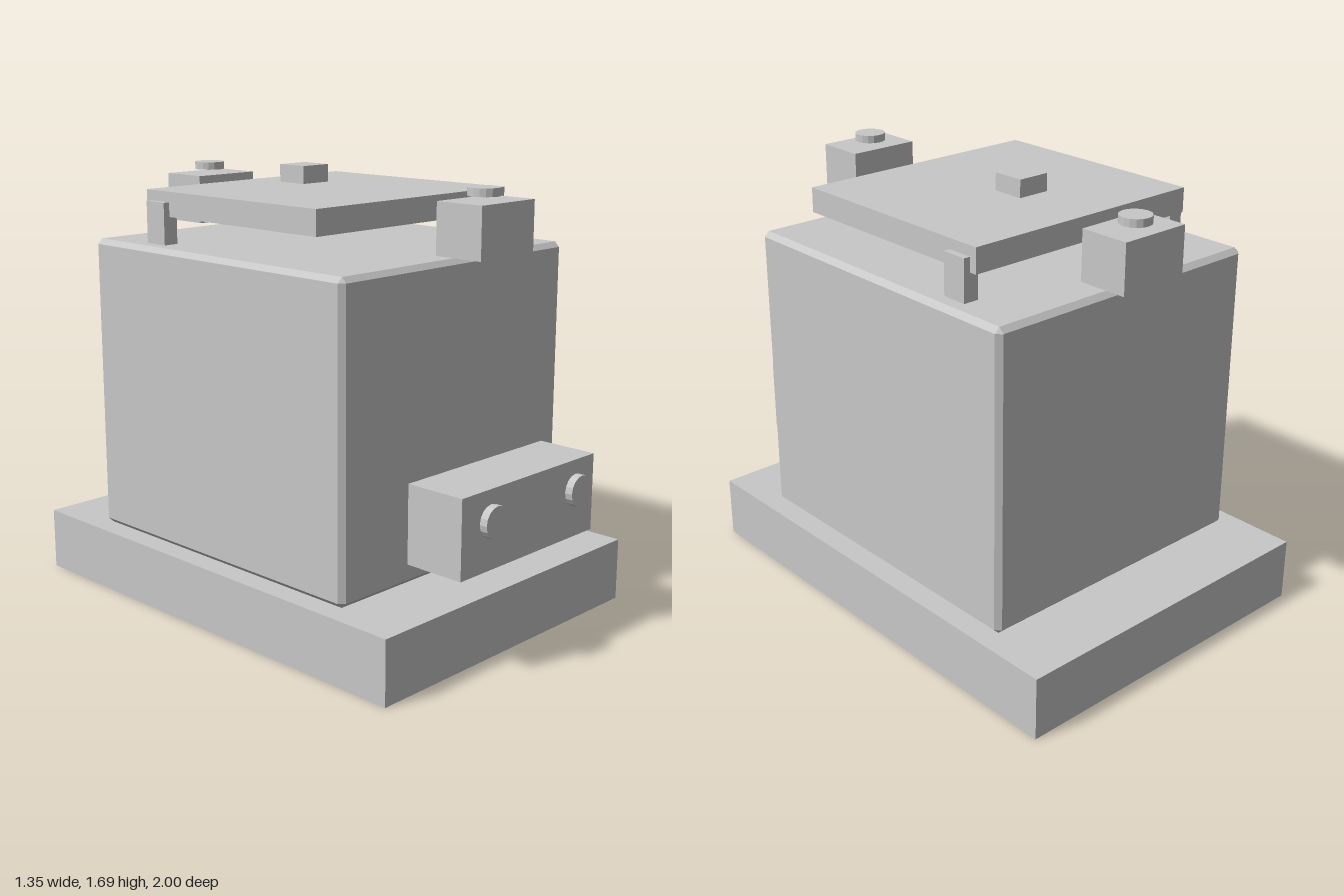
import * as THREE from 'three';
import { ConvexGeometry } from 'three/addons/geometries/ConvexGeometry.js';

const grey = new THREE.MeshStandardMaterial({ color: 0xc8c8c8, flatShading: true });
grey.name = 'plain grey';

function add(group, name, geometry, x, y, z) {
  const mesh = new THREE.Mesh(geometry, grey);
  mesh.name = name;
  mesh.position.set(x, y, z);
  group.add(mesh);
  return mesh;
}

// Box given by its extents along each axis
function block(group, name, [x0, x1], [y0, y1], [z0, z1]) {
  const geometry = new THREE.BoxGeometry(x1 - x0, y1 - y0, z1 - z0);
  return add(group, name, geometry, (x0 + x1) / 2, (y0 + y1) / 2, (z0 + z1) / 2);
}

// Box with every edge cut at 45 degrees
function chamferedBox(w, h, d, c) {
  const points = [];
  for (const sx of [-1, 1]) for (const sy of [-1, 1]) for (const sz of [-1, 1]) {
    for (const axis of [0, 1, 2]) {
      const p = [w / 2 - c, h / 2 - c, d / 2 - c];
      p[axis] += c;
      points.push(new THREE.Vector3(sx * p[0], sy * p[1], sz * p[2]));
    }
  }
  return new ConvexGeometry(points);
}

export function createModel() {
  const model = new THREE.Group();
  model.name = 'lidded box on base';
  const button = new THREE.CylinderGeometry(0.06, 0.06, 0.03, 16);

  // Base slab and main body
  block(model, 'base', [-0.675, 0.675], [0, 0.245], [-1, 0.885]);
  add(model, 'body', chamferedBox(1.21, 1.16, 1.345, 0.02), 0, 0.825, -0.058);

  // Lid with its small square knob
  block(model, 'lid', [-0.512, 0.512], [1.51, 1.605], [-0.515, 0.4]);
  block(model, 'lidKnob', [-0.066, 0.066], [1.62, 1.688], [-0.248, -0.118]);

  // Hinge posts on both sides of the lid
  for (const side of [-1, 1]) {
    const x = [side * 0.477, side * 0.538].sort((a, b) => a - b);
    block(model, side > 0 ? 'leftHinge' : 'rightHinge', x, [1.4, 1.565], [-0.485, -0.383]);
  }

  // Latch blocks at front and back, each with a button on top
  for (const [name, z, buttonZ] of [['front', 0.721, 0.712], ['back', -0.739, -0.745]]) {
    block(model, name + 'Latch', [-0.145, 0.145], [1.43, 1.62], [z - 0.1, z + 0.1]);
    add(model, name + 'LatchButton', button, 0, 1.65, buttonZ);
  }

  // Control panel with two buttons facing forward
  block(model, 'controlPanel', [-0.378, 0.378], [0.38, 0.675], [0.713, 0.953]);
  for (const side of [-1, 1]) {
    const name = side > 0 ? 'leftPanelButton' : 'rightPanelButton';
    add(model, name, button, side * 0.243, 0.57, 0.985).rotation.x = Math.PI / 2;
  }
  return model;
}
